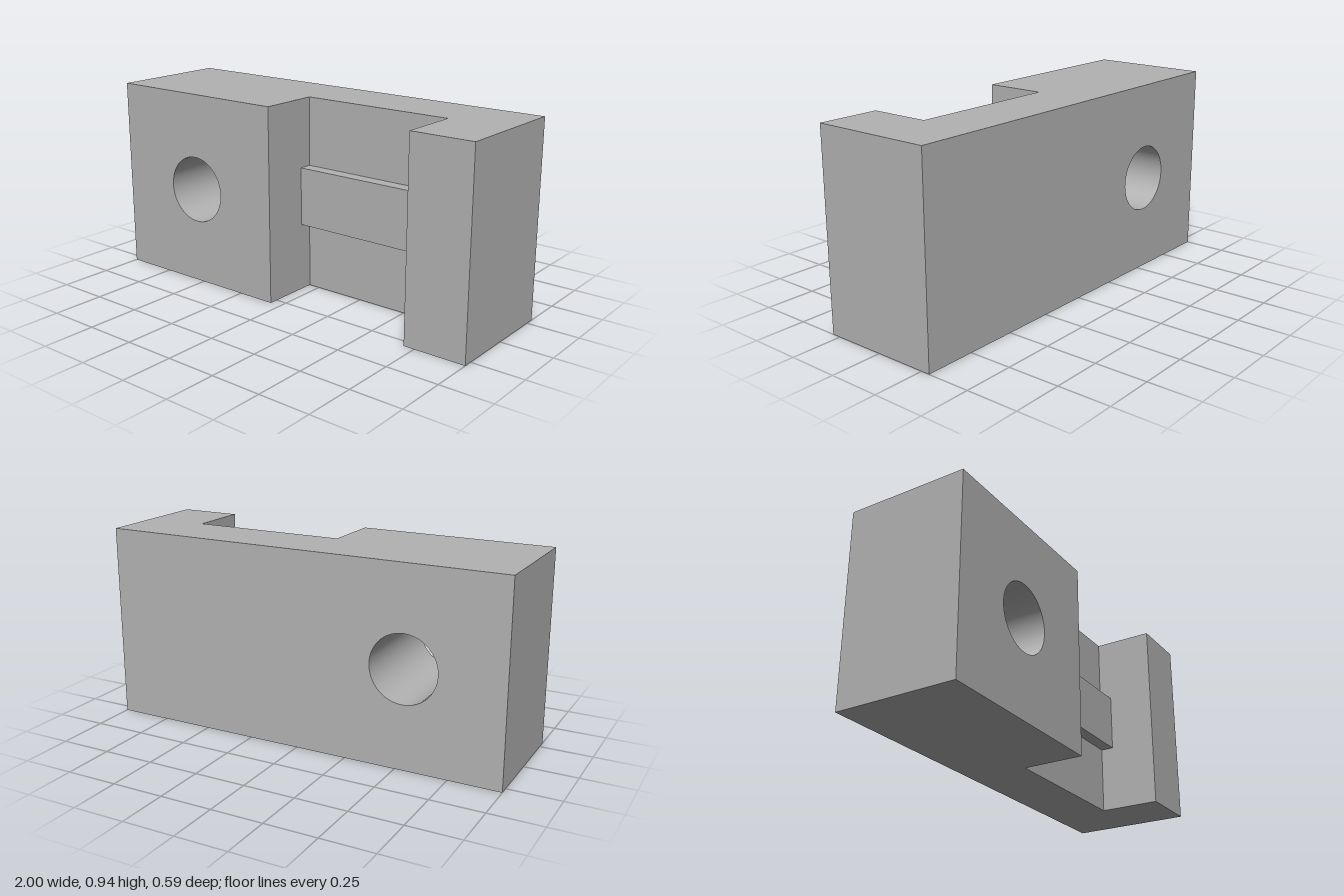
import * as THREE from 'three';
import { toCreasedNormals } from 'three/addons/utils/BufferGeometryUtils.js';

const HEIGHT = 0.944, BACK = -0.293, FRONT = 0.293;
const SLOT_LEFT = -0.057, SLOT_RIGHT = 0.697, SLOT_FLOOR = 0, RIB_FRONT = 0.063;

export function createModel() {
  const group = new THREE.Group();
  const grey = new THREE.MeshStandardMaterial({ color: 0xb2b2b2 });
  grey.name = 'grey';

  function add(name, geometry) {
    const mesh = new THREE.Mesh(geometry, grey);
    mesh.name = name;
    group.add(mesh);
    return mesh;
  }

  // Box given by its limits on each axis
  function block(name, x0, x1, y0, y1, z0, z1) {
    add(name, new THREE.BoxGeometry(x1 - x0, y1 - y0, z1 - z0))
      .position.set((x0 + x1) / 2, (y0 + y1) / 2, (z0 + z1) / 2);
  }

  // Thick end with a round hole right through it
  const outline = new THREE.Shape([
    new THREE.Vector2(-1, 0), new THREE.Vector2(SLOT_LEFT, 0),
    new THREE.Vector2(SLOT_LEFT, HEIGHT), new THREE.Vector2(-1, HEIGHT),
  ]);
  outline.holes.push(new THREE.Path().absarc(-0.53, HEIGHT / 2, 0.162, 0, Math.PI * 2, true));
  const drilled = new THREE.ExtrudeGeometry(outline, {
    depth: FRONT - BACK, bevelEnabled: false, curveSegments: 48,
  });
  drilled.translate(0, 0, BACK);
  add('drilledBlock', toCreasedNormals(drilled, Math.PI / 6));

  // Thin web behind the slot, the narrow end, and the rib across the slot
  block('slotWeb', SLOT_LEFT, SLOT_RIGHT, 0, HEIGHT, BACK, SLOT_FLOOR);
  block('endBlock', SLOT_RIGHT, 1, 0, HEIGHT, BACK, FRONT);
  block('slotRib', SLOT_LEFT, SLOT_RIGHT, 0.331, 0.613, SLOT_FLOOR, RIB_FRONT);

  return group;
}
